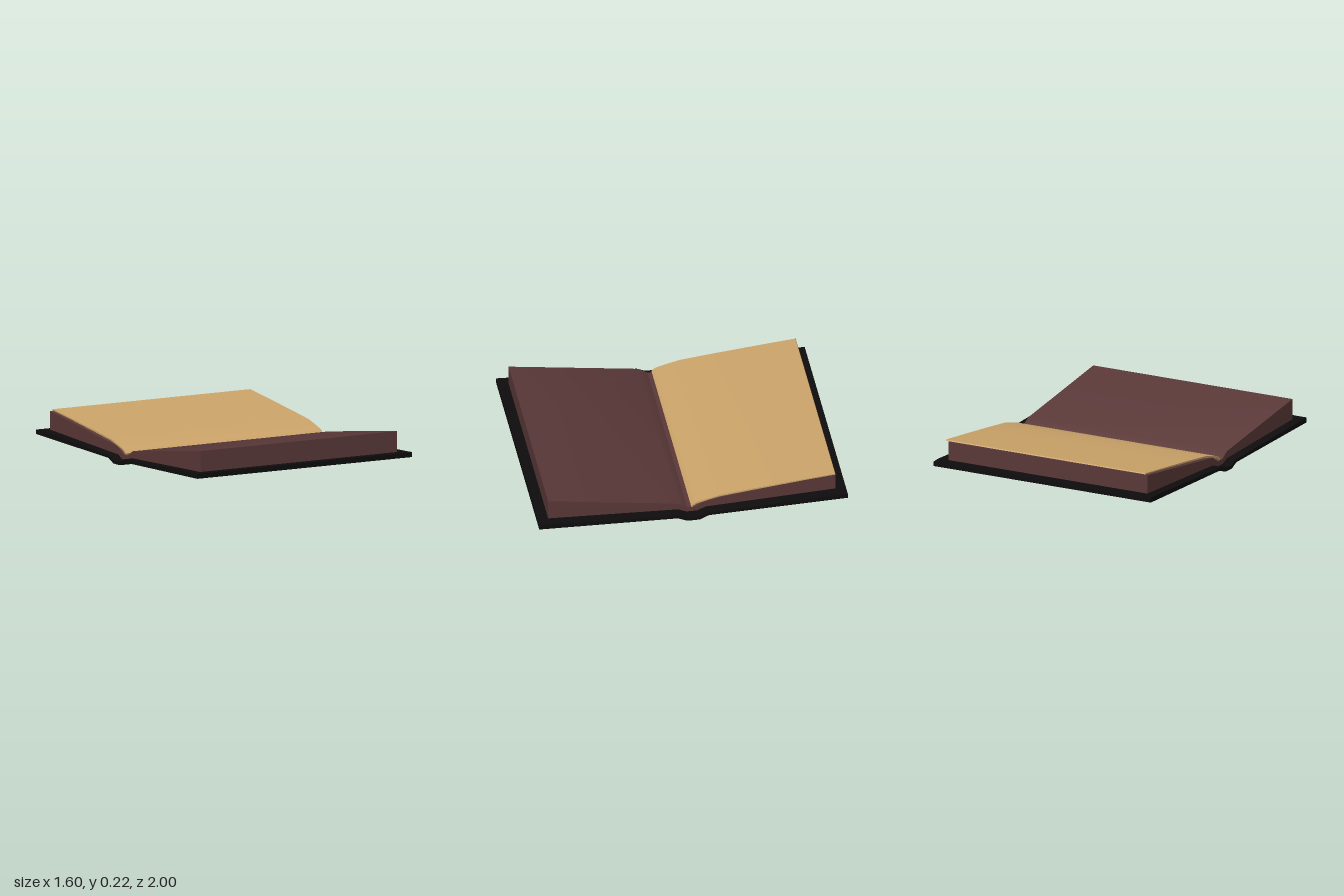
import * as THREE from 'three';
import { toCreasedNormals } from 'three/addons/utils/BufferGeometryUtils.js';

// Extrudes a [z, y] outline along x from x0 to x1
function slab(name, outline, x0, x1, color, crease) {
  const shape = new THREE.Shape(outline.map(([z, y]) => new THREE.Vector2(-z, y)));
  let geo = new THREE.ExtrudeGeometry(shape, { depth: x1 - x0, bevelEnabled: false });
  geo.rotateY(Math.PI / 2);
  geo.translate(x0, 0, 0);
  geo = toCreasedNormals(geo, crease);
  const mesh = new THREE.Mesh(geo, new THREE.MeshStandardMaterial({ color, side: THREE.DoubleSide }));
  mesh.name = name;
  return mesh;
}

export function createModel() {
  const book = new THREE.Group();
  book.name = 'openBook';

  // Cover: two boards joined by a sunken spine
  book.add(slab('cover', [
    [1, 0.053], [0.1, 0.027], [0.04, 0], [-0.04, 0], [-0.1, 0.027], [-1, 0.05],
    [-1, 0.078], [-0.94, 0.082], [-0.09, 0.046], [-0.035, 0.022],
    [0.035, 0.022], [0.09, 0.046], [0.94, 0.082], [1, 0.085],
  ], -0.8, 0.8, 0x0e0c0c, 0.5));

  // Page block: both halves with the valley at the spine
  book.add(slab('pageBlock', [
    [0.93, 0.07], [0.09, 0.04], [0.035, 0.018], [-0.035, 0.018], [-0.09, 0.04], [-0.93, 0.07],
    [-0.93, 0.203], [-0.09, 0.097], [-0.025, 0.055], [0.03, 0.055], [0.09, 0.092], [0.93, 0.217],
  ], -0.735, 0.73, 0x5a3838, 0.5));

  // Loose sheet lying over the back half, curling up out of the spine
  const top = [[0.005, 0.065], [-0.008, 0.078], [-0.03, 0.091], [-0.1, 0.111], [-0.18, 0.131], [-0.4, 0.158], [-0.75, 0.196], [-0.925, 0.214]];
  const under = top.map(([z, y]) => [z - 0.004, y - (z < -0.7 ? 0.007 : 0.01)]).reverse();
  const sheet = slab('looseSheet', [...top, ...under], -0.735, 0.735, 0xcba369, 0.7);
  // Slight skew towards the outer edge
  const p = sheet.geometry.attributes.position;
  for (let i = 0; i < p.count; i++) p.setX(i, p.getX(i) - p.getZ(i) * 0.016);
  book.add(sheet);

  return book;
}
